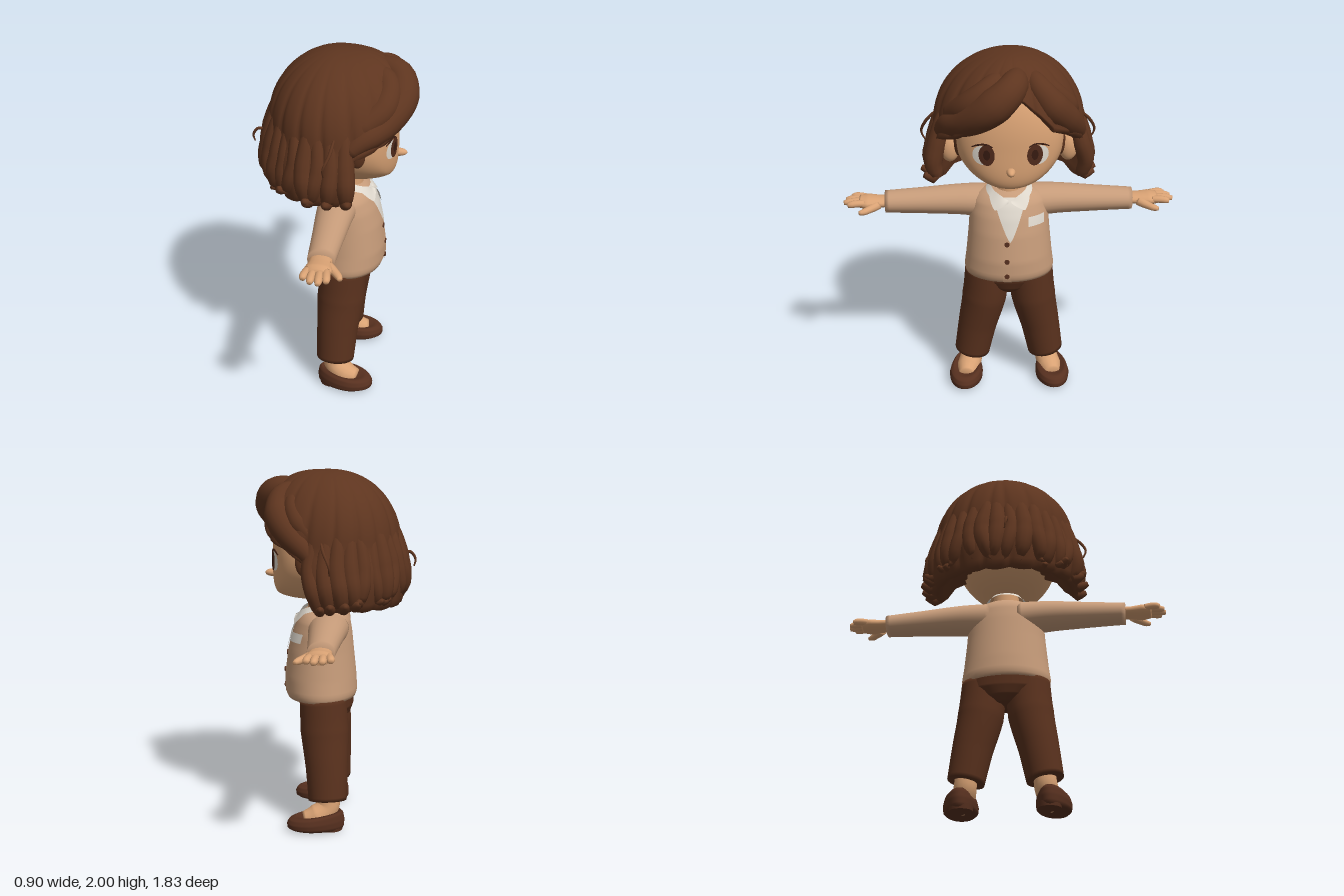
import * as THREE from 'three';
import { mergeVertices } from 'three/addons/utils/BufferGeometryUtils.js';

const mat = (name, color, side = THREE.FrontSide) => {
  const m = new THREE.MeshStandardMaterial({ color, side });
  m.name = name;
  return m;
};
const V = (x, y, z) => new THREE.Vector3(x, y, z);
const { lerp, clamp } = THREE.MathUtils;

// linear lookup in rows sorted by their first value
function lookup(rows, k, col) {
  if (k <= rows[0][0]) return rows[0][col];
  for (let i = 1; i < rows.length; i++) {
    const [a, b] = [rows[i - 1], rows[i]];
    if (k <= b[0]) return lerp(a[col], b[col], (k - a[0]) / (b[0] - a[0]));
  }
  return rows[rows.length - 1][col];
}

function smooth(g) {
  g.deleteAttribute('uv');
  g.deleteAttribute('normal');
  const m = mergeVertices(g, 1e-5);
  m.computeVertexNormals();
  return m;
}

// surface from fn(u, v), u to the right and v upwards, both 0..1
function grid(fn, nu, nv) {
  const g = new THREE.PlaneGeometry(1, 1, nu, nv), p = g.attributes.position;
  for (let i = 0; i < p.count; i++) {
    const q = fn(p.getX(i) + 0.5, p.getY(i) + 0.5);
    p.setXYZ(i, q.x, q.y, q.z);
  }
  return smooth(g);
}

// tapered tube with flat ends, its section stretched along y and z
function sweep(points, radii, sy = 1, sz = 1, segs = 20, sides = 16) {
  const curve = new THREE.CatmullRomCurve3(points.map(p => V(...p)));
  const g = new THREE.TubeGeometry(curve, segs, 1, sides), p = g.attributes.position;
  for (let i = 0; i <= segs; i++) {
    const c = curve.getPointAt(i / segs), k = (i / segs) * (radii.length - 1);
    const end = i === 0 || i === segs, f = Math.min(Math.floor(k), radii.length - 2);
    const r = end ? 0 : lerp(radii[f], radii[f + 1], k - f);
    const at = end ? curve.getPointAt(i === 0 ? 1 / segs : 1 - 1 / segs) : c;
    for (let j = 0; j <= sides; j++) {
      const n = i * (sides + 1) + j, o = V(p.getX(n), p.getY(n), p.getZ(n)).sub(c).multiplyScalar(r);
      p.setXYZ(n, at.x + o.x, at.y + o.y * sy, at.z + o.z * sz);
    }
  }
  return smooth(g);
}

// rows: height, half width, back, front
const ringPoint = (rows, a, y) => {
  const w = lookup(rows, y, 1), b = lookup(rows, y, 2), f = lookup(rows, y, 3);
  return V(w * Math.sin(a), y, (b + f) / 2 + (f - b) / 2 * Math.cos(a));
};
function loft(rows, nv = 30) {
  const y0 = rows[0][0], y1 = rows[rows.length - 1][0];
  return grid((u, v) => {
    const y = lerp(y0, y1, clamp((v * (nv + 2) - 1) / nv, 0, 1)), p = ringPoint(rows, (u * 2 - 1) * Math.PI, y);
    if (v < 1e-6 || v > 1 - 1e-6) p.set(0, y, (lookup(rows, y, 2) + lookup(rows, y, 3)) / 2);
    return p;
  }, 48, nv + 2);
}

const torso = [[0.73, 0.245, -0.12, 0.265], [0.76, 0.252, -0.13, 0.278], [0.85, 0.24, -0.125, 0.28], [1.0, 0.225, -0.11, 0.26],
  [1.1, 0.218, -0.1, 0.235], [1.17, 0.205, -0.088, 0.208], [1.205, 0.17, -0.065, 0.185], [1.228, 0.12, -0.035, 0.16], [1.24, 0.07, 0, 0.13]];
const torsoZ = (x, y) => ringPoint(torso, Math.asin(clamp(x / lookup(torso, y, 1), -1, 1)), y).z;

// face surface: rounded in front, with the chin pushed forward
const faceDepth = (ny, nz) => 0.04 + (nz > 0 ? 0.3 * nz ** 0.6 + 0.1 * Math.max(0, -ny) ** 2 * Math.min(1, nz * 2) : 0.3 * nz);
const faceZ = (x, y) => {
  const nx = x / 0.3, ny = (y - 1.56) / (y > 1.56 ? 0.36 : 0.28);
  return faceDepth(ny, Math.sqrt(Math.max(0, 1 - nx * nx - ny * ny)));
};

// hair outline, and the height of its hem by angle (0 = front)
const hem = [[-3.15, 1.28], [-1.4, 1.3], [-1.22, 1.55], [-0.8, 1.6], [-0.48, 1.67], [-0.2, 1.76], [0.17, 1.82],
  [0.4, 1.74], [0.6, 1.65], [1, 1.59], [1.22, 1.54], [1.4, 1.3], [3.15, 1.28]];
function hairPoint(a, y, k = 1) {
  const d = clamp((1.6 - y) / 0.33, 0, 1);
  const s = y > 1.6 ? Math.sqrt(Math.max(0, 1 - ((y - 1.6) / 0.4) ** 2)) : 1 + 0.1 * Math.sin(Math.PI * 0.95 * d);
  const c = Math.cos(a), off = Math.max(0, 1 - s);
  return V(0.41 * s * k * Math.sin(a) + 0.015 * off, y, (c > 0 ? 0.42 * s ** 0.7 : 0.37 * s ** 0.95) * k * c + 0.03 * off);
}

export function createModel() {
  const skin = mat('skin', 0xd9a274), hair = mat('hair brown', 0x5e351f), knit = mat('cardigan tan', 0xc79c7a);
  const cloth = mat('trouser brown', 0x59311d), leather = mat('shoe brown', 0x57301f);
  const white = mat('shirt white', 0xdfd8cd, THREE.DoubleSide);
  const iris = mat('iris brown', 0x502a1b), dark = mat('eye dark', 0x371b11);
  const model = new THREE.Group(), body = new THREE.Group();
  body.name = 'figure';
  body.rotation.y = Math.PI / 2; // the figure is built facing +z and looks along +x
  model.add(body);
  const add = (name, geo, material, pos, scale) => {
    const m = new THREE.Mesh(geo, material);
    m.name = name;
    if (pos) m.position.set(...pos);
    if (scale) m.scale.set(...scale);
    body.add(m);
    return m;
  };
  const ball = new THREE.SphereGeometry(1, 24, 18);

  // head
  const head = new THREE.SphereGeometry(1, 64, 48), hp = head.attributes.position;
  for (let i = 0; i < hp.count; i++) {
    const y = hp.getY(i), z = hp.getZ(i);
    hp.setXYZ(i, hp.getX(i) * 0.3, 1.56 + y * (y > 0 ? 0.36 : 0.28), faceDepth(y, z));
  }
  add('head', smooth(head), skin);
  add('nose', ball, skin, [0, 1.425, 0.34], [0.024, 0.022, 0.048]);
  add('neck', new THREE.CylinderGeometry(0.07, 0.078, 0.24, 24), skin, [0, 1.25, 0.075]);

  // painted disc lying on the face
  const disc = (x, y, rx, ry, lift) => grid((u, v) => {
    const a = u * Math.PI * 2, px = x + rx * (1 - v) * Math.cos(a), py = y + ry * (1 - v) * Math.sin(a);
    return V(px, py, faceZ(px, py) + lift);
  }, 28, 5);
  for (const s of [-1, 1]) {
    add('eyeWhite', disc(s * 0.15, 1.512, 0.05, 0.053, 0.004), white);
    add('iris', disc(s * 0.126, 1.515, 0.042, 0.058, 0.007), iris);
    add('pupil', disc(s * 0.126, 1.517, 0.018, 0.028, 0.009), dark);
    const arc = [[0.085, 1.555], [0.125, 1.574], [0.17, 1.568], [0.21, 1.548]];
    add('eyelash', sweep(arc.map(([x, y]) => [s * x, y, faceZ(x, y) + 0.003]), [0.002, 0.004, 0.005, 0.002], 1, 1, 14, 8), dark);
    add('ear', ball, skin, [s * 0.32, 1.472, 0.095], [0.052, 0.08, 0.04]);
    add('sideburn', ball, hair, [s * 0.276, 1.535, 0.15], [0.022, 0.085, 0.045]);
  }

  // hair shell with grooved locks, folded in under the hem
  const fold = [[0.45, 0.1], [0.68, 0.07], [0.82, 0.01], [0.93, -0.012]];
  add('hairShell', grid((u, v) => {
    const a = (u * 2 - 1) * Math.PI, row = Math.round(v * 36), t = clamp((36 - row) / 32, 0, 1);
    const wave = Math.abs(Math.sin(9 * a + 1.6 * t * Math.sign(a - 0.15) * Math.min(1, Math.abs(a - 0.15))));
    const h = lookup(hem, a, 1) - (Math.abs(a) > 1.3 ? 0.012 * wave : 0), y = h + (2 - h) * Math.cos(t * Math.PI / 2);
    const groove = 1 - 0.04 * Math.min(1, t * 1.5) * (1 - wave) ** 2;
    return row < 4 ? hairPoint(a, h + fold[row][1], fold[row][0]) : hairPoint(a, y, groove);
  }, 198, 36), hair);

  // swept fringe either side of the parting
  const fringe = [
    [[[0.05, 1.93, 0.14], [0, 1.87, 0.33], [-0.1, 1.78, 0.35], [-0.22, 1.69, 0.28], [-0.33, 1.63, 0.17], [-0.38, 1.56, 0.09]], [0.03, 0.075, 0.095, 0.085, 0.07, 0.03]],
    [[[0.02, 1.92, 0.12], [-0.1, 1.86, 0.28], [-0.21, 1.77, 0.27], [-0.3, 1.68, 0.15], [-0.36, 1.6, 0.05]], [0.02, 0.065, 0.075, 0.07, 0.02]],
    [[[0.09, 1.92, 0.15], [0.14, 1.87, 0.27], [0.21, 1.77, 0.28], [0.295, 1.67, 0.21], [0.36, 1.58, 0.12], [0.395, 1.49, 0.07]], [0.03, 0.06, 0.085, 0.08, 0.06, 0.02]],
    [[[0.1, 1.92, 0.1], [0.2, 1.84, 0.2], [0.29, 1.74, 0.17], [0.36, 1.62, 0.06]], [0.02, 0.055, 0.065, 0.02]]];
  fringe.forEach(([pts, r]) => add('fringeLock', sweep(pts, r, 1, 1, 28, 18), hair));

  // wavy locks growing out of the shell, flicked out at the tips
  let seed = 7;
  const rnd = () => (seed = (seed * 16807) % 2147483647) / 2147483647;
  const locks = 21;
  for (let i = 0; i < locks; i++) {
    const a = lerp(1.32, 2 * Math.PI - 1.32, i / (locks - 1)), low = 1.29 + 0.05 * rnd(), turn = (rnd() - 0.5) * 0.4;
    const side = Math.abs(Math.sin(a)) ** 2, size = 0.85 + 0.35 * rnd();
    const path = [[0, 1.8, 0.86], [0.1, 1.65, 0.9], [-0.1, 1.5, 0.91], [0.3, 1.39, 0.95], [0.7, low, 0.96], [1, low + 0.03 * side, 1.02 + 0.14 * side]];
    add('curl', sweep(path.map(([k, y, f]) => hairPoint(a + turn * k, y, f).toArray()),
      [0.01, 0.028, 0.04, 0.05, 0.05, 0.037, 0.006].map(r => r * size), 1, 1, 22, 12), hair);
  }
  const wisps = [[[-0.38, 1.68, 0.05], [-0.45, 1.6, 0.03], [-0.475, 1.53, 0], [-0.44, 1.46, 0]],
    [[0.38, 1.66, 0.05], [0.44, 1.6, 0.03], [0.47, 1.53, 0], [0.44, 1.47, 0]],
    [[-0.05, 1.52, -0.36], [-0.06, 1.54, -0.42], [-0.06, 1.5, -0.45], [-0.05, 1.45, -0.44]]];
  wisps.forEach(p => add('wisp', sweep(p, [0.006, 0.009, 0.007, 0.003], 1, 1, 16, 8), hair));

  // cardigan, shirt front and collar
  add('cardigan', loft(torso), knit);
  add('placket', grid((u, v) => {
    const x = lerp(-0.04, 0.006, u), y = lerp(0.735, 0.985, v);
    return V(x, y, torsoZ(x, y) + 0.005);
  }, 6, 16), knit);
  add('shirtFront', grid((u, v) => {
    const x = (u - 0.5) * 0.18 * v ** 0.8, y = 0.975 + 0.235 * v;
    return V(x, y, torsoZ(x, y) + 0.007);
  }, 12, 14), white);
  add('pocketTrim', grid((u, v) => {
    const x = lerp(0.1, 0.19, u), y = lerp(1.058, 1.11, v);
    return V(x, y, torsoZ(x, y) + 0.016);
  }, 6, 2), white);
  add('collar', grid((u, v) => {
    const a = lerp(0.06, 2 * Math.PI - 0.06, u), d = Math.min(a, 2 * Math.PI - a), k = 1 - v;
    const point = Math.max(0, 1 - Math.abs(d - 0.55) / 0.5), dip = 0.025 * Math.exp(-((d / 0.4) ** 2));
    return V(lerp(0.1, 0.127 + 0.03 * point, k) * Math.sin(a), 1.262 - 0.04 * Math.cos(a) - dip * v - k * (0.03 + 0.05 * point),
      0.1 + lerp(0.095, 0.118 + 0.024 * point, k) * Math.cos(a));
  }, 96, 5), white);
  for (const y of [0.965, 0.865, 0.775]) {
    const b = add('button', new THREE.CylinderGeometry(0.014, 0.014, 0.01, 16), leather, [-0.018, y, torsoZ(0, y) + 0.003]);
    b.rotation.x = Math.PI / 2;
  }
  add('trouserSeat', loft([[0.6, 0.07, -0.05, 0.14], [0.63, 0.16, -0.09, 0.168], [0.68, 0.225, -0.108, 0.19], [0.76, 0.24, -0.11, 0.21]]), cloth);

  // paired limbs
  for (const s of [-1, 1]) {
    const limb = (name, pts, r, m, ...rest) => add(name, sweep(pts.map(([x, y, z]) => [s * x, y, z]), r, ...rest), m);
    limb('sleeve', [[0.06, 1.125, 0.03], [0.24, 1.135, 0.025], [0.46, 1.132, 0.025], [0.71, 1.126, 0.025]], [0.098, 0.083, 0.07, 0.059], knit, 1, 1.2, 28, 24);
    limb('palm', [[0.67, 1.13, 0.025], [0.74, 1.13, 0.027], [0.8, 1.13, 0.026], [0.84, 1.132, 0.025]], [0.05, 0.054, 0.064, 0.05], skin, 0.55, 1.15);
    [[-0.035, 0.885], [0.003, 0.915], [0.042, 0.925], [0.078, 0.9]].forEach(([z, x]) =>
      limb('finger', [[0.79, 1.135, z * 0.8 + 0.006], [0.85, 1.137, z], [x, 1.13, z * 1.1]], [0.02, 0.022, 0.022, 0.021, 0.01], skin, 0.9, 1, 14, 12));
    limb('thumb', [[0.72, 1.125, 0.06], [0.76, 1.118, 0.1], [0.8, 1.112, 0.132], [0.835, 1.11, 0.148]], [0.028, 0.026, 0.022, 0.02, 0.009], skin, 0.9, 1, 14, 12);

    limb('trouserLeg', [[0.123, 0.75, 0.058], [0.14, 0.55, 0.047], [0.182, 0.35, 0.033], [0.219, 0.145, 0.025]], [0.124, 0.128, 0.112, 0.101], cloth, 1, 1.06, 30, 28);
    limb('foot', [[0.212, 0.2, 0.015], [0.22, 0.12, 0.025], [0.238, 0.075, 0.08], [0.255, 0.055, 0.17]], [0.06, 0.064, 0.068, 0.04], skin);

    // slip-on shoe: high at the heel, low at the toe
    const shoe = loft([[0, 0.085, -0.15, 0.145], [0.015, 0.097, -0.16, 0.16], [0.05, 0.1, -0.162, 0.162], [0.085, 0.092, -0.155, 0.15], [0.1, 0.075, -0.14, 0.11]], 14);
    const p = shoe.attributes.position;
    for (let i = 0; i < p.count; i++) {
      const x = p.getX(i), y = p.getY(i), z = p.getZ(i);
      const inside = y > 0.095 && Math.hypot(x, z) < 0.03;
      p.setY(i, 0.008 + (inside ? 0.03 : y * lerp(1.12, 0.68, clamp((z + 0.16) / 0.3, 0, 1))));
      p.setX(i, x * lerp(0.8, 1, clamp((z + 0.16) / 0.2, 0, 1)));
    }
    shoe.computeVertexNormals();
    add('shoe', shoe, leather, [s * 0.252, 0, 0.09]).rotation.y = s * 0.1;
    add('heel', new THREE.CylinderGeometry(0.068, 0.064, 0.03, 24), leather, [s * 0.237, 0.015, 0.005]);
  }
  return model;
}
